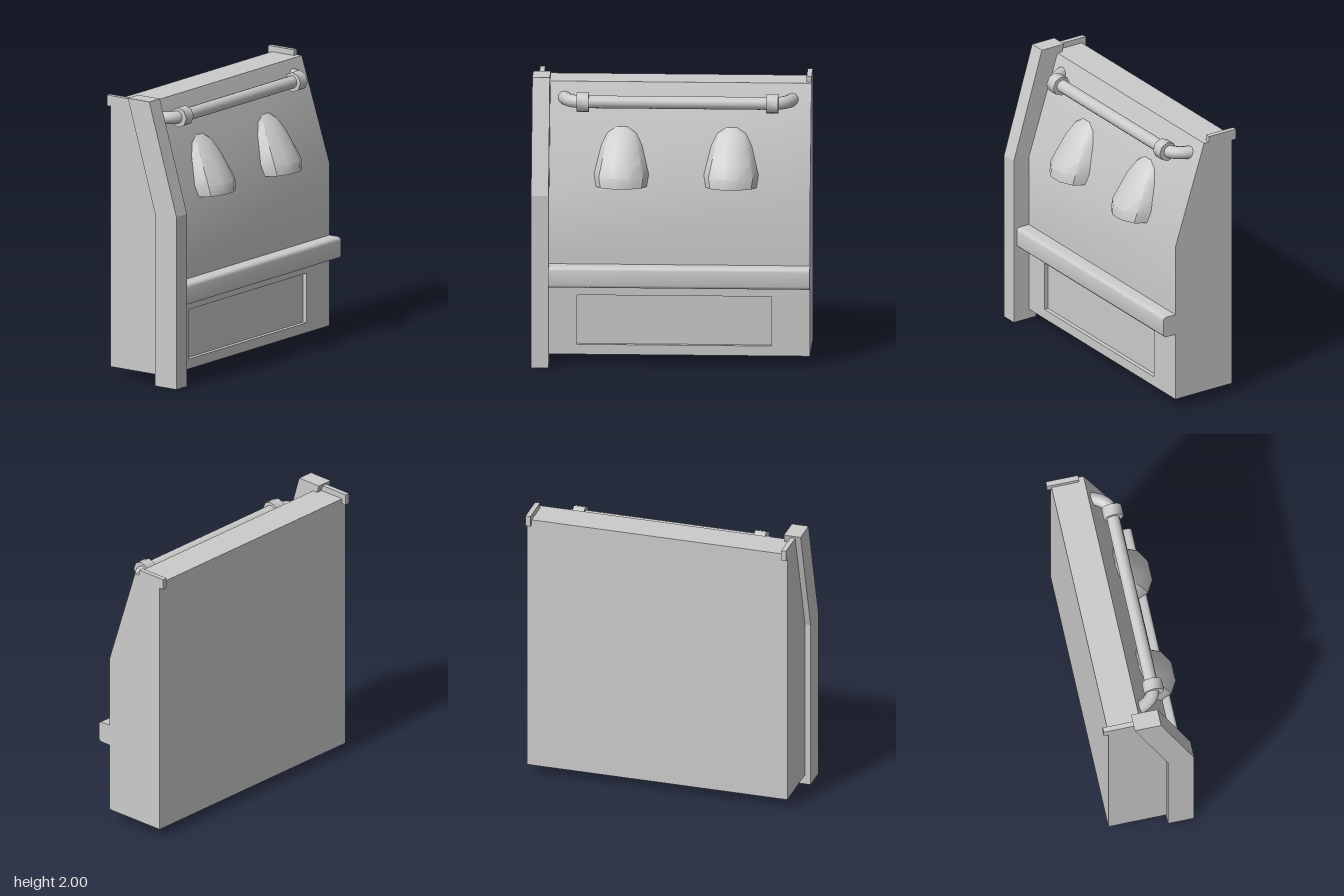
import * as THREE from 'three';
import { toCreasedNormals } from 'three/addons/utils/BufferGeometryUtils.js';

const material = new THREE.MeshStandardMaterial({ color: 0xcccccc, side: THREE.DoubleSide });

function addMesh(parent, name, geometry, x = 0, y = 0, z = 0) {
  const mesh = new THREE.Mesh(geometry, material);
  mesh.name = name;
  mesh.position.set(x, y, z);
  parent.add(mesh);
  return mesh;
}

// Skin joining neighbouring rows of [x, y, z] points
function skin(rows) {
  const pos = [];
  for (let i = 0; i + 1 < rows.length; i++) {
    const a = rows[i], b = rows[i + 1];
    for (let j = 0; j + 1 < a.length; j++) {
      pos.push(...a[j], ...a[j + 1], ...b[j + 1], ...a[j], ...b[j + 1], ...b[j]);
    }
  }
  const g = new THREE.BufferGeometry();
  g.setAttribute('position', new THREE.Float32BufferAttribute(pos, 3));
  return toCreasedNormals(g, 0.6);
}

// [z, y] profile stretched from x0 to x1
const sweep = (profile, x0, x1) => skin(profile.map(([z, y]) => [[x0, y, z], [x1, y, z]]));

// Flat end plates of a [z, y] profile
function addEnds(parent, name, profile, x0, x1) {
  const shape = new THREE.Shape(profile.map(([z, y]) => new THREE.Vector2(z, y)));
  const g = new THREE.ShapeGeometry(shape).rotateY(-Math.PI / 2);
  addMesh(parent, name + 'RightEnd', g, x0);
  const flipped = g.clone();
  flipped.setIndex([...g.index.array].reverse());
  flipped.computeVertexNormals();
  addMesh(parent, name + 'LeftEnd', flipped, x1);
}

// Quarter round in the [z, y] plane
function arc(cz, cy, r, from) {
  return [0, 1, 2, 3].map(i => {
    const a = from + i * Math.PI / 6;
    return [cz + r * Math.cos(a), cy + r * Math.sin(a)];
  });
}

const frontZ = 0.19, bendY = 1.22, topY = 1.945, topZ = -0.048;
const slopeZ = y => frontZ + (y - bendY) / (topY - bendY) * (topZ - frontZ);

function createBody() {
  const body = new THREE.Group();
  body.name = 'body';
  const x0 = -0.92, x1 = 0.955, low = 0.07, ledgeY = 0.56;

  // Ledge, sloped front, top and back in one profile; underside open
  const profile = [
    [frontZ, ledgeY],
    ...arc(0.265, ledgeY + 0.025, 0.025, -Math.PI / 2),
    ...arc(0.265, 0.685, 0.025, 0),
    [frontZ, 0.71], [frontZ, bendY], [topZ, topY], [-0.28, topY], [-0.28, low],
  ];
  addMesh(body, 'cabinetShell', sweep(profile, x0, x1));
  addEnds(body, 'cabinet', [[frontZ, low], ...profile], x0, x1);

  // Lower front with a recessed panel
  const px0 = -0.65, px1 = 0.69, py0 = 0.14, py1 = 0.49, depth = 0.03;
  const rect = (Type, a, b, c, d) => new Type([[a, c], [b, c], [b, d], [a, d]].map(p => new THREE.Vector2(...p)));
  const front = rect(THREE.Shape, x0, x1, low, ledgeY);
  front.holes.push(rect(THREE.Path, px0, px1, py0, py1));
  addMesh(body, 'lowerFront', new THREE.ShapeGeometry(front), 0, 0, frontZ);

  const recess = new THREE.BoxGeometry(px1 - px0, py1 - py0, depth);
  const index = [...recess.index.array];
  index.splice(24, 6); // open towards the front
  recess.clearGroups();
  recess.setIndex(index.reverse());
  recess.computeVertexNormals();
  addMesh(body, 'recessedPanel', recess, (px0 + px1) / 2, (py0 + py1) / 2, frontZ - depth / 2);

  // Hooked brackets on the top corners
  for (const x of [x0 + 0.0175, x1 - 0.0175]) {
    addMesh(body, 'topBracket', new THREE.BoxGeometry(0.035, 0.04, 0.225), x, 1.965, -0.2);
    addMesh(body, 'bracketHook', new THREE.BoxGeometry(0.035, 0.075, 0.033), x, 1.947, -0.2965);
  }
  return body;
}

function createPost() {
  const post = new THREE.Group();
  post.name = 'sidePost';
  const profile = [[0.315, 0], [0.315, bendY], [0.082, 2], [-0.103, 2], [0.13, bendY], [0.13, 0]];
  // Front and back bend stay sharp, so each face is its own strip
  for (let i = 0; i + 1 < profile.length; i++) {
    addMesh(post, 'postFace', sweep(profile.slice(i, i + 2), -0.96, -0.84));
  }
  addEnds(post, 'post', profile, -0.96, -0.84);
  return post;
}

// Half-round hood, open at the bottom: [y, half width, front z]
function hoodGeometry() {
  const rows = [
    [1.262, 0.175, 0.315], [1.34, 0.188, 0.307], [1.43, 0.165, 0.247],
    [1.53, 0.14, 0.18], [1.61, 0.1, 0.112], [1.652, 0.035, 0.052],
  ];
  return skin(rows.map(([y, w, f], r) => {
    const back = slopeZ(y);
    return [0, 1, 2, 3, 4, 5].map(i => {
      const a = Math.PI * (1 - i / 5), s = Math.sin(a);
      return [w * Math.cos(a), y + (r === 0 ? 0.012 * s - 0.004 : 0), back + (f - back) * s];
    });
  }));
}

function createRail() {
  const rail = new THREE.Group();
  rail.name = 'rail';
  rail.position.set(0.04, 1.835, 0);
  const v = (x, z) => new THREE.Vector3(x, 0, z);
  // Straight bar with both ends bent back into the slope
  const path = new THREE.CurvePath();
  path.add(new THREE.QuadraticBezierCurve3(v(-0.785, -0.03), v(-0.75, 0.09), v(-0.66, 0.095)));
  path.add(new THREE.LineCurve3(v(-0.66, 0.095), v(0.66, 0.095)));
  path.add(new THREE.QuadraticBezierCurve3(v(0.66, 0.095), v(0.75, 0.09), v(0.785, -0.03)));
  addMesh(rail, 'railBar', new THREE.TubeGeometry(path, 64, 0.045, 12));
  for (const side of [-1, 1]) {
    const collar = toCreasedNormals(new THREE.CylinderGeometry(0.07, 0.07, 0.083, 8).rotateZ(Math.PI / 2), 0.9);
    addMesh(rail, 'railCollar', collar, side * 0.652, 0, 0.1);
  }
  return rail;
}

export function createModel() {
  const model = new THREE.Group();
  model.name = 'panelCabinet';
  model.add(createBody(), createPost(), createRail());
  for (const x of [-0.345, 0.41]) addMesh(model, 'hood', hoodGeometry(), x);
  return model;
}
